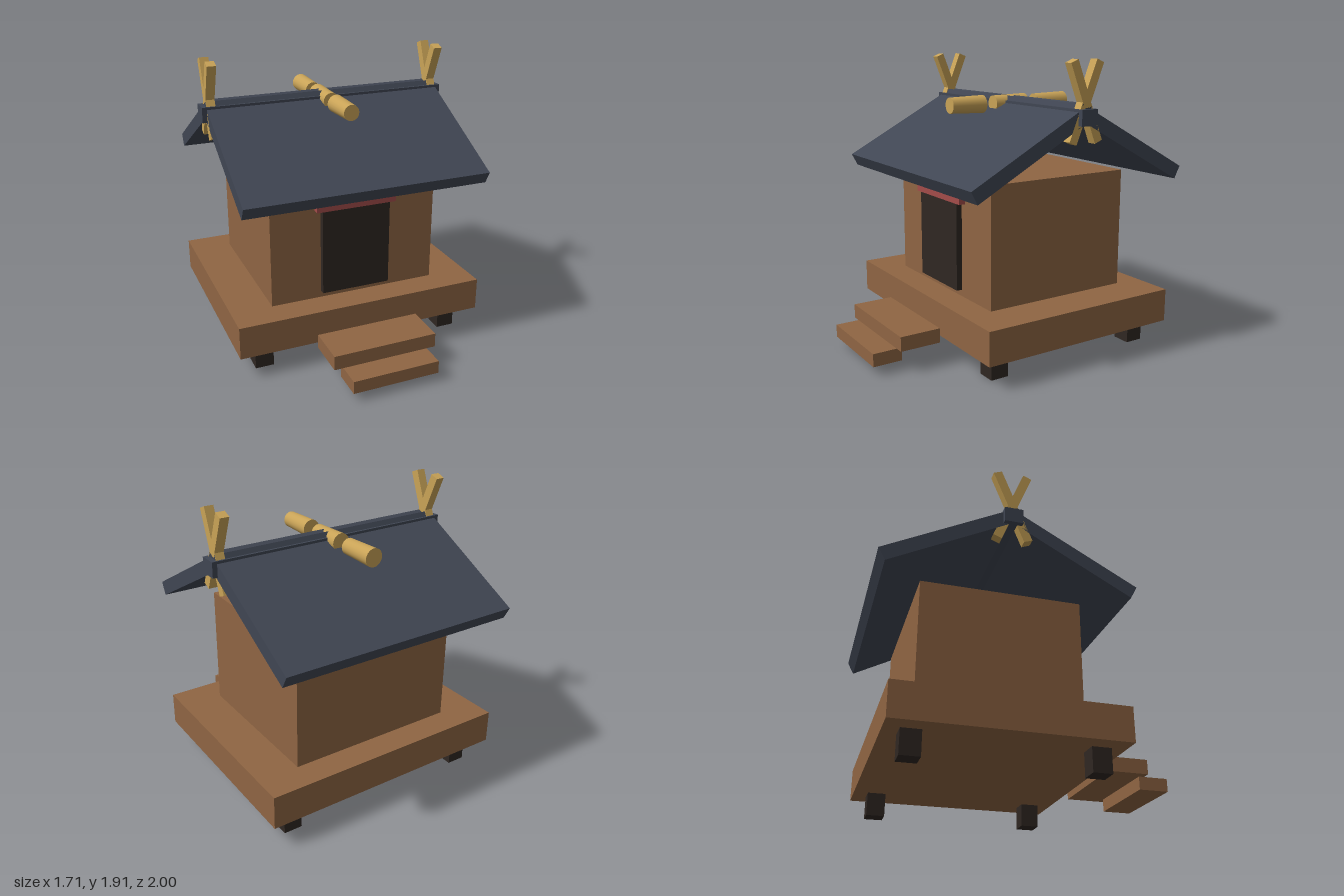
import * as THREE from 'three';

const mat = (color) => new THREE.MeshStandardMaterial({ color });

export function createModel() {
  const model = new THREE.Group();
  const wood = mat(0x8f6543), dark = mat(0x2f2722), roof = mat(0x404653);
  const red = mat(0xa34c4a), gold = mat(0xc9a357);
  const midZ = -0.19; // the shrine's own centre line

  const add = (name, geometry, material, x, y, z, tilt = 0) => {
    const mesh = new THREE.Mesh(geometry, material);
    mesh.name = name;
    mesh.position.set(x, y, z);
    mesh.rotation.x = tilt;
    model.add(mesh);
  };
  // Box given by its width and its y and z ranges
  const block = (name, material, w, y0, y1, z0, z1, x = 0) =>
    add(name, new THREE.BoxGeometry(w, y1 - y0, z1 - z0), material, x, (y0 + y1) / 2, (z0 + z1) / 2);

  // Base, hall and entrance
  block('platform', wood, 1.714, 0.155, 0.375, -0.895, 0.52);
  block('hall', wood, 1.16, 0.375, 1.17, -0.71, 0.33);
  block('door', dark, 0.474, 0.42, 1.0, 0.30, 0.37);
  block('lintel', red, 0.554, 1.0, 1.1, 0.30, 0.375);
  block('upperStep', wood, 0.704, 0.145, 0.24, 0.565, 0.84);
  block('lowerStep', wood, 0.584, 0.06, 0.145, 0.805, 1.0);

  // Feet under the platform corners
  for (const x of [-0.672, 0.672])
    for (const z of [-0.74, 0.365])
      block('foot', dark, 0.123, 0, 0.155, z - 0.061, z + 0.061, x);

  // Two roof slopes meeting at the ridge beam
  const pitch = THREE.MathUtils.degToRad(28);
  for (const s of [1, -1])
    add(s > 0 ? 'frontRoof' : 'backRoof', new THREE.BoxGeometry(1.65, 0.091, 0.951), roof,
      0, 1.387, midZ + s * 0.37, s * pitch);
  block('ridgeBeam', roof, 1.714, 1.52, 1.62, midZ - 0.06, midZ + 0.06);

  // Crossed finials at both gable ends
  const lean = THREE.MathUtils.degToRad(22);
  for (const x of [-0.795, 0.795])
    for (const s of [1, -1])
      add('crossedFinial', new THREE.BoxGeometry(0.06, 0.526, 0.058), gold, x, 1.66, midZ, s * lean);

  // Tapered logs in a row across the ridge
  for (const i of [-1, 0, 1])
    add('ridgeLog', new THREE.CylinderGeometry(0.053, 0.06, 0.255, 20), gold,
      0, 1.6, midZ + i * 0.337, Math.PI / 2);

  return model;
}
